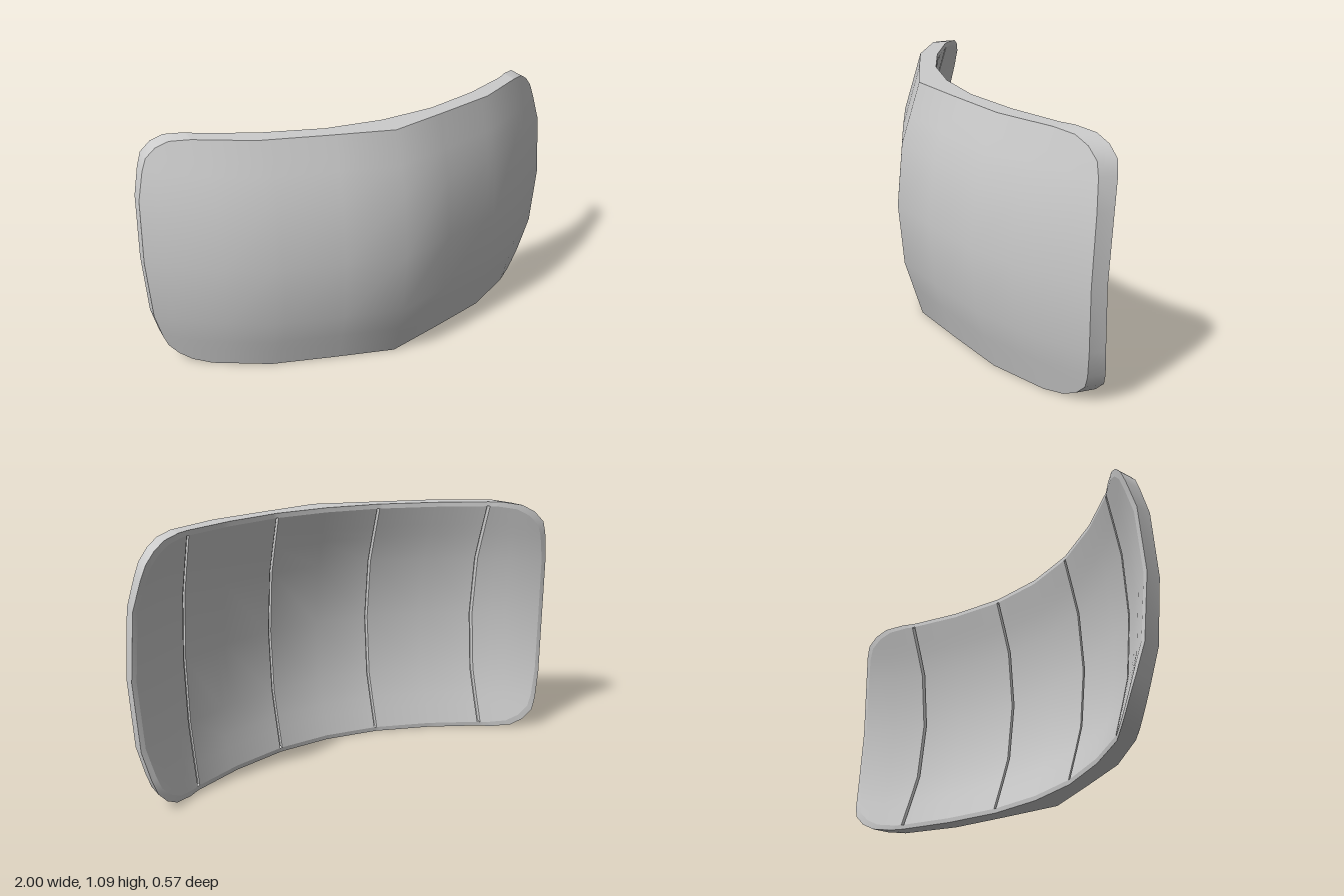
import * as THREE from 'three';

const MID = 0.5425;   // half the height
const STRAIGHT = 0.74; // columns stay straight up to here, then follow the rounded ends
const INSET = 0.02;   // bevel around the back
const GROOVES = [-0.72, -0.25, 0.25, 0.72];
const GAP = 0.006;

// Piecewise linear curve, extended past its last point
function curve(points, t) {
  const a = Math.abs(t);
  let i = 0;
  while (i < points.length - 2 && a > points[i + 1][0]) i++;
  const [x0, y0] = points[i], [x1, y1] = points[i + 1];
  return y0 + (y1 - y0) * (a - x0) / (x1 - x0);
}

// Half width by distance from mid height, bulge by height, depth by x
const WIDTH = [[0, 1], [0.28, 0.985], [0.4, 0.955], [0.455, 0.935], [0.5, 0.895], [0.53, 0.845], [MID, 0.77]];
const DROP = [[0, 0], [0.28, 0.025], [MID, 0.105]];
const FRONT = [[0, 0.29], [0.27, 0.215], [0.54, 0.135], [0.78, 0], [1, -0.17]];
const BACK = [[0, 0.16], [0.25, 0.135], [0.5, 0.055], [0.72, -0.05], [0.93, -0.205], [1, -0.243]];

const halfRows = WIDTH.map((p) => p[0]);
const ROWS = [...halfRows.slice(1).reverse().map((v) => -v), ...halfRows];
const halfCols = [0.25, 0.27, 0.5, 0.54, 0.72, STRAIGHT, 0.8, 0.86, 0.93, 1];
const COLS = [...halfCols.slice().reverse().map((v) => -v), 0, ...halfCols];

const depth = (profile, x, v) => curve(profile, x) - curve(DROP, v);

// A point on the front or back surface
function surfacePoint(profile, c, v, inset = 0, push = 0) {
  const a = Math.abs(c);
  const w = curve(WIDTH, v) - inset;
  const x = Math.sign(c) * (a <= STRAIGHT ? a : STRAIGHT + (a - STRAIGHT) / (1 - STRAIGHT) * (w - STRAIGHT));
  const y = v * (1 - inset / MID);
  return new THREE.Vector3(x, MID + y, depth(profile, x, y) + push);
}

// Smooth normal taken across neighbouring facets
function surfaceNormal(profile, p, facing) {
  const h = 0.13, v = p.y - MID;
  const dx = (depth(profile, p.x + h, v) - depth(profile, p.x - h, v)) / (2 * h);
  const dy = (depth(profile, p.x, v + h) - depth(profile, p.x, v - h)) / (2 * h);
  return new THREE.Vector3(-dx, -dy, 1).normalize().multiplyScalar(facing);
}

// Join equal-length lines of points into a sheet
function sheet(lines, flip) {
  const n = lines[0].length, index = [];
  for (let i = 0; i < lines.length - 1; i++) {
    for (let j = 0; j < n - 1; j++) {
      const a = i * n + j, b = a + n, c = b + 1, d = a + 1;
      index.push(...(flip ? [a, c, b, a, d, c] : [a, b, c, a, c, d]));
    }
  }
  const g = new THREE.BufferGeometry().setFromPoints(lines.flat());
  g.setIndex(index);
  return g;
}

function face(profile, cols, inset, facing) {
  const lines = cols.map((c) => ROWS.map((v) => surfacePoint(profile, c, v, inset)));
  const g = sheet(lines, facing < 0);
  const normals = lines.flat().flatMap((p) => surfaceNormal(profile, p, facing).toArray());
  g.setAttribute('normal', new THREE.Float32BufferAttribute(normals, 3));
  return g;
}

// Outline of the plate, anticlockwise seen from the front
function outline(profile, inset, push) {
  const last = ROWS.length - 1;
  const at = (c, v) => surfacePoint(profile, c, v, inset, push);
  const loop = [
    ...COLS.map((c) => at(c, ROWS[0])),
    ...ROWS.slice(1).map((v) => at(1, v)),
    ...COLS.slice(0, -1).reverse().map((c) => at(c, ROWS[last])),
    ...ROWS.slice(1, last).reverse().map((v) => at(-1, v)),
  ];
  return [...loop, loop[0].clone()];
}

export function createModel() {
  const group = new THREE.Group();
  group.name = 'curvedShield';
  const material = new THREE.MeshStandardMaterial({ color: 0xcccccc, side: THREE.DoubleSide });
  const add = (name, geometry) => {
    const mesh = new THREE.Mesh(geometry, material);
    mesh.name = name;
    group.add(mesh);
  };
  const band = (a, b) => {
    const g = sheet([a, b], true);
    g.computeVertexNormals();
    return g;
  };

  // Bulging front plate
  add('frontPlate', face(FRONT, COLS, 0, 1));

  // Outer wall and the narrow bevel behind it
  const rim = outline(BACK, 0, 0.008);
  add('rimWall', band(rim, outline(FRONT, 0, 0)));
  add('rimBevel', band(outline(BACK, INSET, 0), rim));

  // Back panels between the grooves
  const edges = [-1 - GAP, ...GROOVES, 1 + GAP];
  for (let i = 0; i < edges.length - 1; i++) {
    const from = edges[i] + GAP, to = edges[i + 1] - GAP;
    const cols = [from, ...COLS.filter((c) => c > from + 0.001 && c < to - 0.001), to];
    add('backPanel' + (i + 1), face(BACK, cols, INSET, -1));
  }

  // Narrow channels dividing the panels
  GROOVES.forEach((x, i) => {
    const steps = [[-GAP, 0], [-GAP, 0.02], [GAP, 0.02], [GAP, 0]];
    const lines = steps.map(([dx, d]) => ROWS.map((v) => surfacePoint(BACK, x + dx, v, INSET, d)));
    const g = sheet(lines, true).toNonIndexed();
    g.computeVertexNormals();
    add('groove' + (i + 1), g);
  });

  return group;
}
